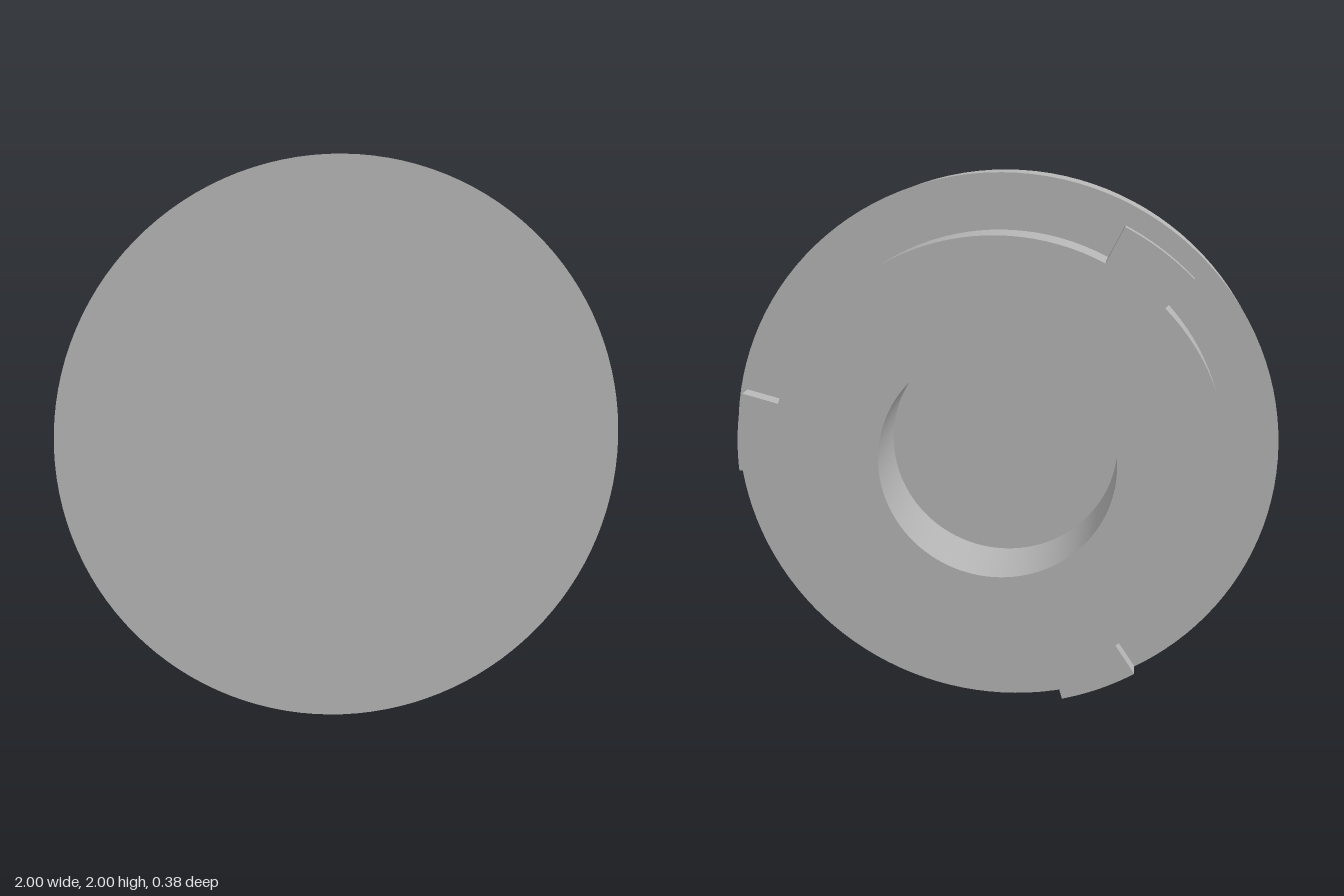
import * as THREE from 'three';
import { toCreasedNormals } from 'three/addons/utils/BufferGeometryUtils.js';

const HALF = 0.1875;       // half of the total thickness
const NECK_RADIUS = 0.806;
const TAB_RADIUS = 0.94;
const TAB_DEPTH = 0.0625;
const deg = THREE.MathUtils.degToRad;

export function createModel() {
  const model = new THREE.Group();
  model.name = 'bayonetCap';
  const grey = new THREE.MeshStandardMaterial({ color: 0xb4b4b4 });
  grey.name = 'grey';

  // Turned body: blind bore, neck and wide front disc
  const profile = [
    [0, 0.094], [0.425, 0.094], [0.425, -HALF], [NECK_RADIUS, -HALF],
    [NECK_RADIUS, 0], [1, 0], [1, HALF], [0, HALF],
  ].map(([r, z]) => new THREE.Vector2(r, z));
  const bodyGeometry = new THREE.LatheGeometry(profile, 120);
  bodyGeometry.rotateX(Math.PI / 2);
  const body = new THREE.Mesh(toCreasedNormals(bodyGeometry, deg(30)), grey);
  body.name = 'capBody';
  body.position.y = 1;
  model.add(body);

  // Locking tabs: three ring sectors flush with the back of the neck
  const start = deg(-3), end = deg(14.8);
  const sector = new THREE.Shape();
  sector.absarc(0, 0, TAB_RADIUS, start, end, false);
  sector.absarc(0, 0, NECK_RADIUS - 0.001, end, start, true);
  const tabGeometry = toCreasedNormals(
    new THREE.ExtrudeGeometry(sector, { depth: TAB_DEPTH, bevelEnabled: false, curveSegments: 10 }),
    deg(30),
  );
  for (let i = 0; i < 3; i++) {
    const tab = new THREE.Mesh(tabGeometry, grey);
    tab.name = `lockingTab${i + 1}`;
    tab.position.set(0, 1, -HALF);
    tab.rotation.z = (i * Math.PI * 2) / 3;
    model.add(tab);
  }

  return model;
}
